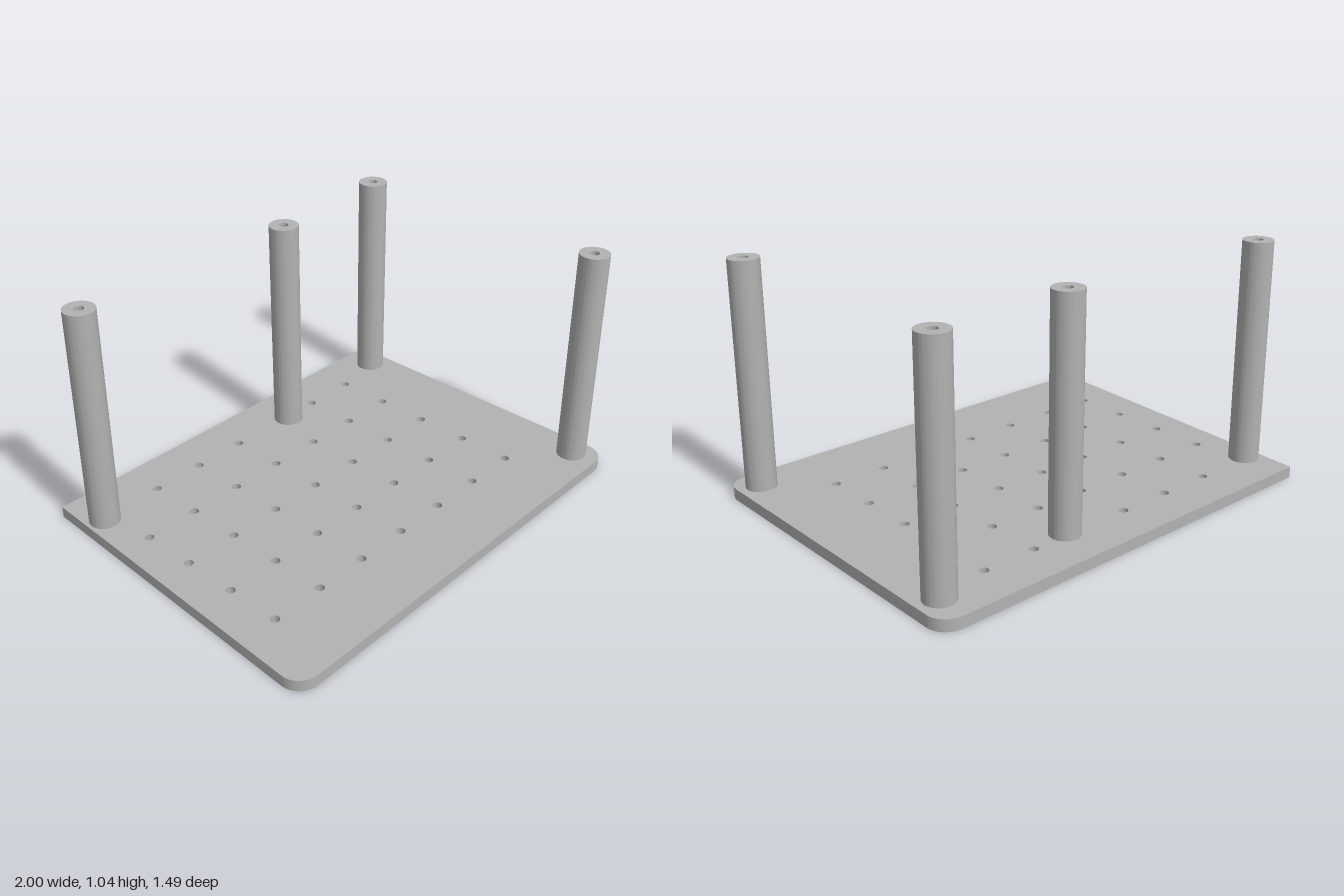
import * as THREE from 'three';
import { toCreasedNormals } from 'three/addons/utils/BufferGeometryUtils.js';

const THICKNESS = 0.05, HEIGHT = 1.04;
const HALF_X = 1, HALF_Z = 0.743, CORNER = 0.09;
const POST_R = 0.066, BORE_R = 0.021, RECESS_R = 0.037, HOLE_R = 0.02;

// Post centres as [x, z]
const POSTS = [[-0.855, -0.54], [0.24, -0.54], [0.9, -0.6], [0.9, 0.62]];

// Circular hole at a plan position (shape y is -z)
function circle(x, z, r) {
  return new THREE.Path().absarc(x, -z, r, 0, Math.PI * 2, true);
}

// Extrude a plan shape upwards with crisp rims and smooth curves
function extrudeUp(shape, depth, curveSegments) {
  const geo = new THREE.ExtrudeGeometry(shape, { depth, bevelEnabled: false, curveSegments });
  geo.rotateX(-Math.PI / 2);
  return toCreasedNormals(geo, 0.6);
}

export function createModel() {
  const model = new THREE.Group();
  model.name = 'standoffPlate';
  const grey = new THREE.MeshStandardMaterial({ color: 0xb2b2b2 });
  grey.name = 'plainGrey';

  // Base plate: three rounded corners and one slanted back corner
  const plan = new THREE.Shape();
  const cx = HALF_X - CORNER, cz = HALF_Z - CORNER;
  plan.moveTo(-HALF_X, 0.58);
  plan.absarc(-cx, -cz, CORNER, Math.PI, Math.PI * 1.5, false);
  plan.absarc(cx, -cz, CORNER, -Math.PI / 2, 0, false);
  plan.absarc(cx, cz, CORNER, 0, Math.PI / 2, false);
  plan.lineTo(-0.925, HALF_Z);
  plan.closePath();

  // Grid of small holes, left out where a post stands
  for (let row = 0; row < 5; row++) {
    for (let col = 0; col < 7; col++) {
      const x = -0.807 + col * 0.244, z = -0.552 + row * 0.244;
      const blocked = POSTS.some(([px, pz]) => Math.hypot(px - x, pz - z) < POST_R + HOLE_R);
      if (!blocked) plan.holes.push(circle(x, z, HOLE_R));
    }
  }
  // Wider screw recesses beneath the posts
  for (const [x, z] of POSTS) plan.holes.push(circle(x, z, RECESS_R));

  const plate = new THREE.Mesh(extrudeUp(plan, THICKNESS, 12), grey);
  plate.name = 'basePlate';
  model.add(plate);

  // Hollow posts
  const ring = new THREE.Shape().absarc(0, 0, POST_R, 0, Math.PI * 2, false);
  ring.holes.push(circle(0, 0, BORE_R));
  const postGeo = extrudeUp(ring, HEIGHT - THICKNESS, 32);
  POSTS.forEach(([x, z], i) => {
    const post = new THREE.Mesh(postGeo, grey);
    post.name = `post${i + 1}`;
    post.position.set(x, THICKNESS, z);
    model.add(post);
  });
  return model;
}
